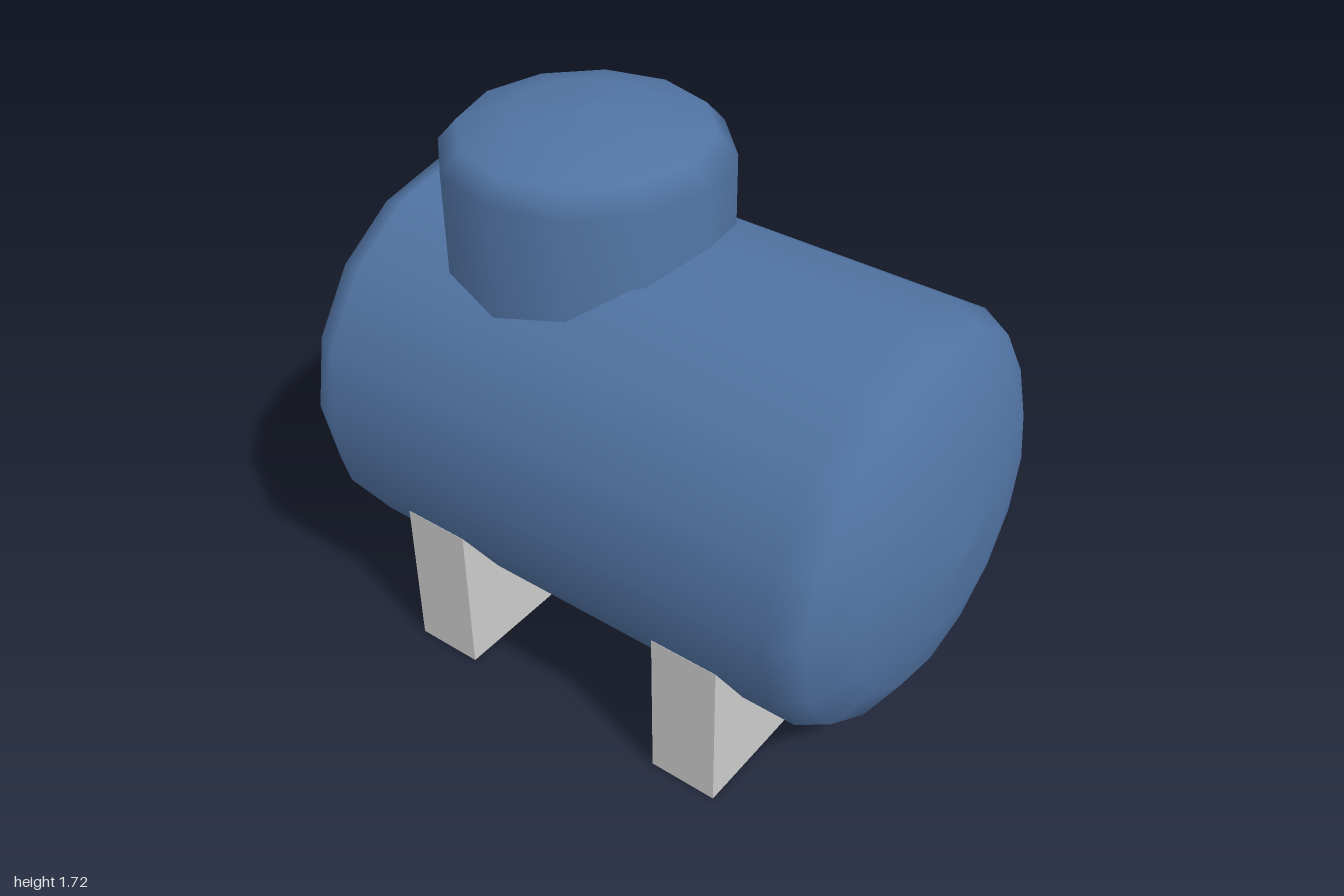
import * as THREE from 'three';

const R = 0.645;        // tank radius
const AXIS_Y = 0.76;    // height of the tank's axis
const CAP = 0.25;       // depth of the domed ends

const paint = new THREE.MeshStandardMaterial({ color: 0x5173a3 });
const dark = new THREE.MeshStandardMaterial({ color: 0x444444 });
const grey = new THREE.MeshStandardMaterial({ color: 0xcccccc });

// Elliptical arc from angle a to b (degrees, 0 = rim, 90 = pole)
function arc(radius, height, offset, a, b, steps) {
  const points = [];
  for (let i = 0; i <= steps; i++) {
    const t = THREE.MathUtils.degToRad(a + ((b - a) * i) / steps);
    points.push(new THREE.Vector2(Math.max(0, radius * Math.cos(t)), offset + height * Math.sin(t)));
  }
  return points;
}

function lathe(name, points, sides, material) {
  const mesh = new THREE.Mesh(new THREE.LatheGeometry(points, sides), material);
  mesh.name = name;
  return mesh;
}

export function createModel() {
  const model = new THREE.Group();
  model.name = 'storageTank';

  // Horizontal tank: domed front, back dome cut off at the opening
  const tank = new THREE.Group();
  tank.name = 'tank';
  tank.rotation.x = Math.PI / 2;
  tank.position.y = AXIS_Y;
  const backStart = -1 + CAP * Math.SQRT1_2;
  const openR = R * Math.SQRT1_2;
  tank.add(lathe('tankShell', [
    ...arc(R, CAP, backStart, -45, 0, 2),
    ...arc(R, CAP, 1 - CAP, 0, 90, 4),
  ], 16, paint));

  // Short inner lip and dark dished plate in the back opening
  const lipZ = -0.95;
  tank.add(lathe('openingLip', [
    new THREE.Vector2(openR, lipZ),
    new THREE.Vector2(openR, -1),
  ], 16, paint));
  tank.add(lathe('dishedPlate', arc(openR, 0.15, lipZ, 90, 0, 4), 16, dark));
  model.add(tank);

  // Domed hatch on top, its base sunk into the tank
  const hatch = lathe('hatch', [
    new THREE.Vector2(0.43, 1.1),
    ...arc(0.43, 0.13, 1.585, 0, 90, 3),
  ], 12, paint);
  hatch.position.z = -0.315;
  model.add(hatch);

  // Two support blocks
  for (const [name, z] of [['frontSupport', 0.465], ['backSupport', -0.465]]) {
    const support = new THREE.Mesh(new THREE.BoxGeometry(1.19, 0.51, 0.22), grey);
    support.name = name;
    support.position.set(0, 0.255, z);
    model.add(support);
  }

  return model;
}
